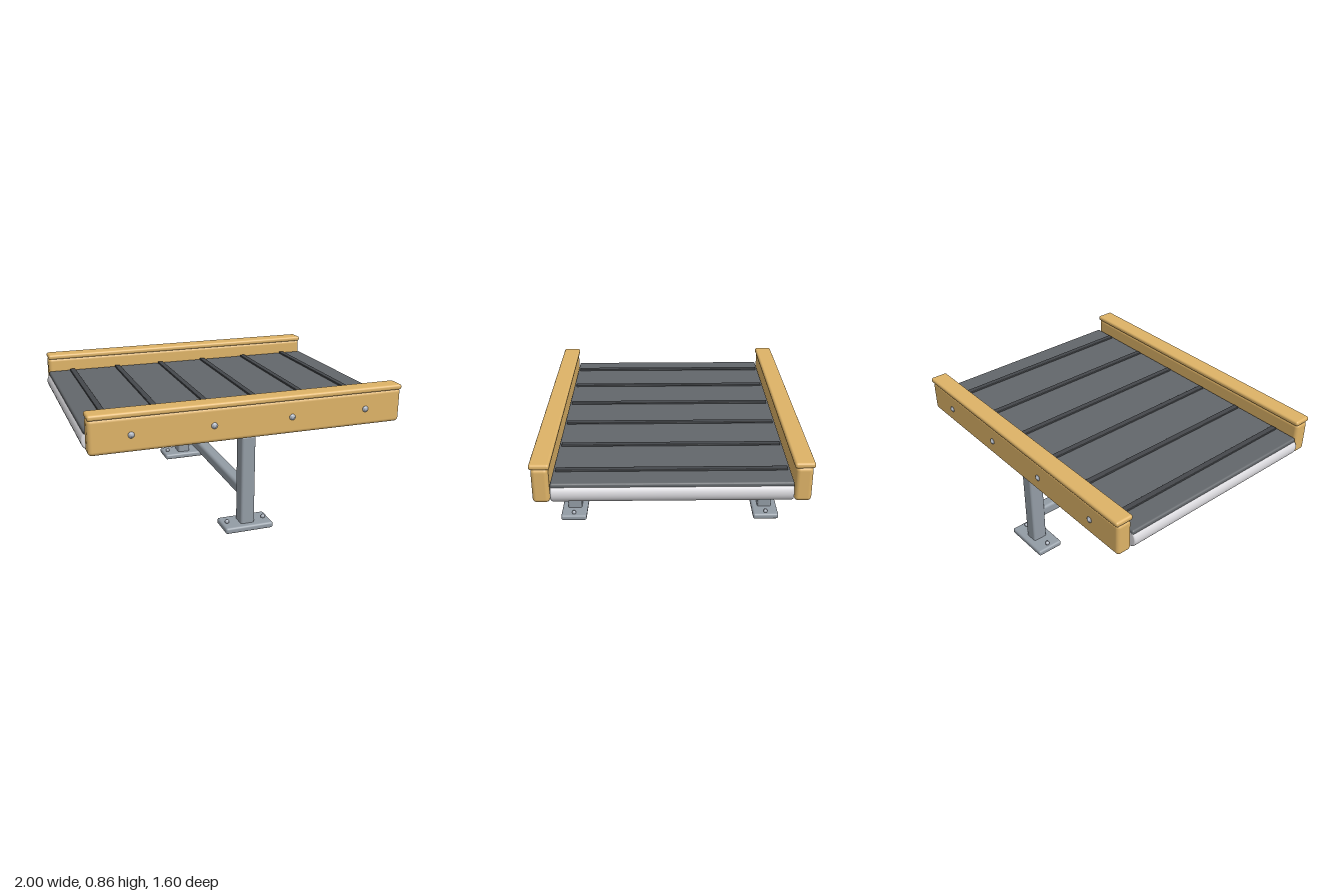
import * as THREE from 'three';
import { RoundedBoxGeometry } from 'three/addons/geometries/RoundedBoxGeometry.js';

const material = (name, color) => {
  const m = new THREE.MeshStandardMaterial({ color });
  m.name = name;
  return m;
};

export function createModel() {
  const model = new THREE.Group();
  model.name = 'conveyorSection';

  const wood = material('ochre', 0xdeb367);
  const steel = material('steel grey', 0x939ca5);
  const belt = material('belt grey', 0x63676b);
  const cleat = material('cleat dark grey', 0x45484c);
  const chrome = material('roller silver', 0xdad9dd);
  const bolt = material('bolt grey', 0xb0b7c2);

  const add = (name, geometry, mat, x, y, z, parent = model) => {
    const mesh = new THREE.Mesh(geometry, mat);
    mesh.name = name;
    mesh.position.set(x, y, z);
    parent.add(mesh);
    return mesh;
  };
  const rounded = (w, h, d, r) => new RoundedBoxGeometry(w, h, d, 3, r);
  // Solid turned around the y axis from [radius, height] points
  const turned = (points, segments) => new THREE.LatheGeometry(
    points.map(([r, y]) => new THREE.Vector2(r, y)), segments);

  // Belt slab with raised cleats
  add('belt', rounded(1.965, 0.045, 1.366, 0.012), belt, 0, 0.7245, 0);
  for (let i = 0; i < 6; i++) {
    add('cleat', rounded(0.038, 0.018, 1.334, 0.004), cleat, (i - 2.5) * 0.327, 0.749, 0);
  }

  // End rollers, with softened rims, tucked under the belt ends
  const rollerGeometry = turned([
    [0, -0.683], [0.051, -0.683], [0.057, -0.68], [0.06, -0.672],
    [0.06, 0.672], [0.057, 0.68], [0.051, 0.683], [0, 0.683],
  ], 32).rotateX(Math.PI / 2);
  for (const x of [-0.94, 0.94]) add('roller', rollerGeometry, chrome, x, 0.682, 0);

  // Rail bolt: washer with a smaller head; plate bolt: low dome
  const railBolt = turned([
    [0, 0], [0.019, 0], [0.019, 0.006], [0.011, 0.008], [0.011, 0.012], [0.007, 0.015], [0, 0.015],
  ], 16).rotateX(Math.PI / 2);
  const plateBolt = turned([[0, 0], [0.013, 0], [0.014, 0.01], [0.01, 0.019], [0, 0.023]], 16);

  for (const side of [1, -1]) {
    const name = side > 0 ? 'front' : 'back';

    // Side rail with cap and bolts
    const rail = new THREE.Group();
    rail.name = name + 'Rail';
    model.add(rail);
    add('railBoard', rounded(1.96, 0.214, 0.098, 0.024), wood, 0, 0.729, side * 0.737, rail);
    add('railCap', rounded(1.96, 0.034, 0.116, 0.014), wood, 0, 0.846, side * 0.737, rail);
    for (const x of [-0.735, -0.245, 0.245, 0.735]) {
      const head = add('railBolt', railBolt, bolt, x, 0.727, side * 0.784, rail);
      if (side < 0) head.rotation.y = Math.PI;
    }

    // Leg standing on a bolted foot plate
    const leg = new THREE.Group();
    leg.name = name + 'Leg';
    model.add(leg);
    add('post', rounded(0.09, 0.587, 0.097, 0.015), steel, 0, 0.3165, side * 0.667, leg);
    add('footPlate', rounded(0.312, 0.039, 0.176, 0.014), steel, 0, 0.0195, side * 0.667, leg);
    for (const x of [-0.12, 0.12]) {
      add('plateBolt', plateBolt, bolt, x, 0.038, side * 0.667, leg);
    }
  }

  // Cross members joining the legs
  add('upperCrossbar', rounded(0.09, 0.057, 1.375, 0.018), steel, 0, 0.6005, 0);
  add('lowerCrossbar', rounded(0.08, 0.075, 1.28, 0.02), steel, 0, 0.238, 0);

  return model;
}
